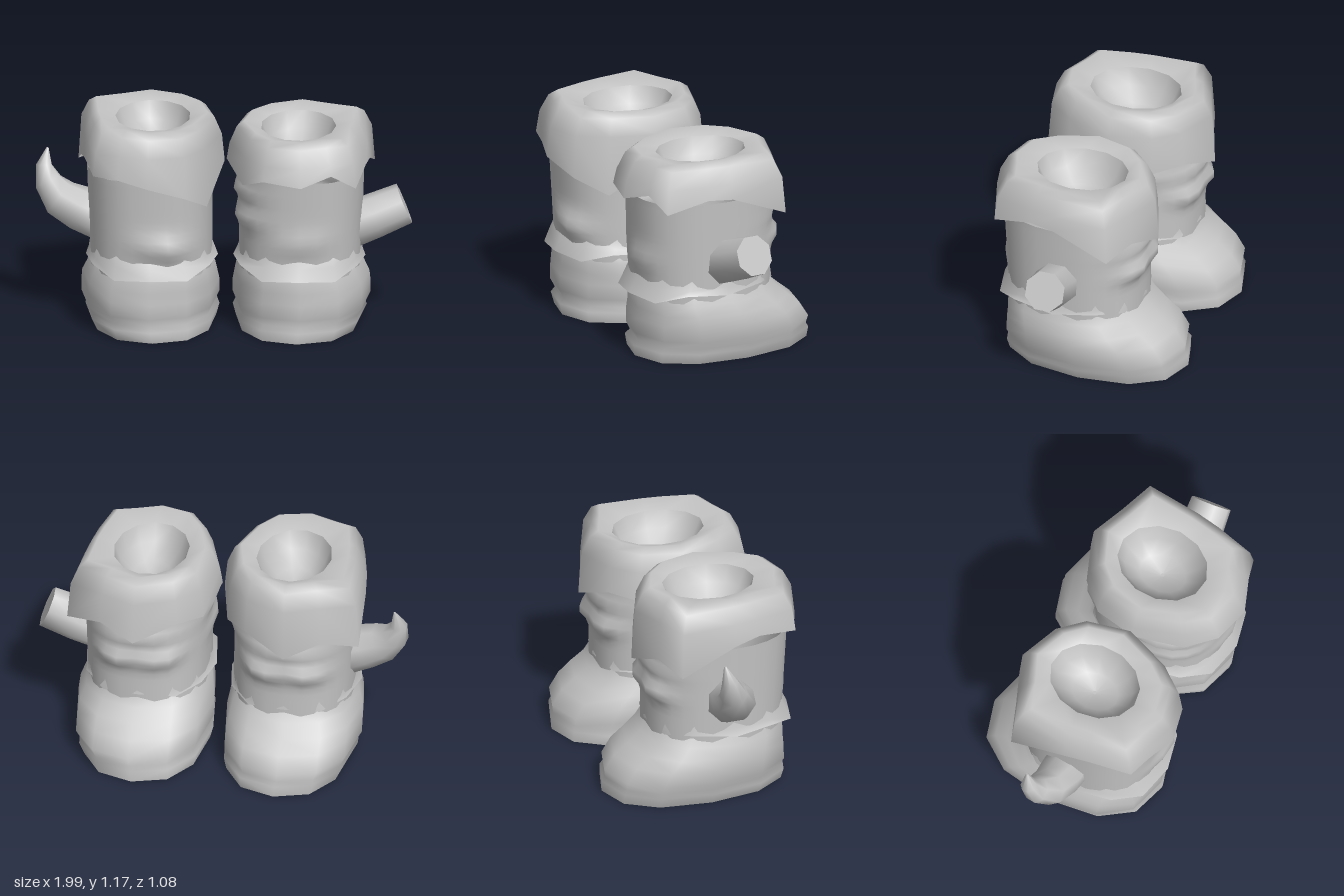
import * as THREE from 'three';

const clay = new THREE.MeshStandardMaterial({ color: 0xc4c4c4, side: THREE.DoubleSide });
clay.name = 'grey clay';

// Skin a stack of closed rings; optional flat caps get their own vertices
function loft(rings, capStart = false, capEnd = false) {
  const n = rings[0].length, pos = [], idx = [];
  rings.forEach(r => r.forEach(p => pos.push(...p)));
  for (let i = 0; i < rings.length - 1; i++)
    for (let j = 0; j < n; j++) {
      const k = (j + 1) % n, a = i * n + j, b = i * n + k;
      idx.push(a, a + n, b, b, a + n, b + n);
    }
  const cap = (ring, flip) => {
    const base = pos.length / 3;
    ring.forEach(p => pos.push(...p));
    for (let j = 1; j < n - 1; j++)
      idx.push(base, base + (flip ? j : j + 1), base + (flip ? j + 1 : j));
  };
  if (capStart) cap(rings[0], true);
  if (capEnd) cap(rings[rings.length - 1], false);
  const g = new THREE.BufferGeometry();
  g.setAttribute('position', new THREE.Float32BufferAttribute(pos, 3));
  g.setIndex(idx);
  g.computeVertexNormals();
  return g;
}

// Oval horizontal ring given by its extents; a power below 1 squares it off
function oval(y, x0, x1, z0, z1, n = 12, power = 0.85) {
  const soft = v => Math.sign(v) * Math.abs(v) ** power;
  return Array.from({ length: n }, (_, i) => {
    const a = i / n * Math.PI * 2;
    return [(x0 + x1) / 2 + soft(Math.cos(a)) * (x1 - x0) / 2, y,
      (z0 + z1) / 2 + soft(Math.sin(a)) * (z1 - z0) / 2];
  });
}

// Copy a geometry to the other side in x, keeping its faces outward
function mirror(g) {
  const m = g.clone().scale(-1, 1, 1).translate(0.03, 0, 0), id = m.index.array;
  for (let i = 0; i < id.length; i += 3) [id[i], id[i + 1]] = [id[i + 1], id[i]];
  m.computeVertexNormals();
  return m;
}

// Round limb along a path, with a radius at each point
function limb(points, radii) {
  const curve = points.map(p => new THREE.Vector3(...p));
  const rings = curve.map((p, i) => {
    const t = curve[Math.min(i + 1, curve.length - 1)].clone()
      .sub(curve[Math.max(i - 1, 0)]).normalize();
    const up = new THREE.Vector3().crossVectors(t, new THREE.Vector3(0, 0, 1)).normalize();
    const side = new THREE.Vector3().crossVectors(t, up);
    return Array.from({ length: 8 }, (_, j) => {
      const a = -(j + 0.5) / 8 * Math.PI * 2;
      return p.clone().addScaledVector(up, Math.cos(a) * radii[i])
        .addScaledVector(side, Math.sin(a) * radii[i]).toArray();
    });
  });
  return loft(rings, false, true);
}

// Plan of the cuff, starting at its outer side, and each boot's ragged lower edge
const plan = [[0.78, 0.08], [0.76, 0.22], [0.71, 0.44], [0.58, 0.48], [0.42, 0.54], [0.22, 0.49],
  [0.11, 0.34], [0.02, 0.08], [0.08, -0.16], [0.2, -0.29], [0.42, -0.38], [0.61, -0.3], [0.8, -0.23]];
const leftHem = [0.92, 0.93, 0.87, 0.95, 0.9, 0.92, 0.85, 0.91, 0.84, 0.86, 0.77, 0.83, 0.8];
const rightHem = [0.93, 0.96, 0.93, 0.92, 0.89, 0.82, 0.73, 0.9, 0.84, 0.86, 0.77, 0.84, 0.8];
const scaled = (s, y) => plan.map(([x, z], i) =>
  [0.4 + (x - 0.4) * s, typeof y === 'number' ? y : y[i], 0.07 + (z - 0.07) * s]);

// Bulges in the shaft: centre, push, spread along the surface, spread in height
const commonBulges = [
  [0.28, 0.62, -0.3, 0.055, 0.1, 0.05], [0.52, 0.62, -0.3, 0.055, 0.1, 0.05],
  [0.4, 0.75, -0.3, 0.03, 0.2, 0.04],
];
const leftBulges = [...commonBulges, [0.09, 0.65, 0.25, 0.035, 0.16, 0.05],
  [0.09, 0.79, 0.2, 0.035, 0.16, 0.04], [0.42, 0.55, 0.46, 0.025, 0.12, 0.07]];
const rightBulges = [...commonBulges, [0.33, 0.52, 0.46, 0.05, 0.12, 0.07],
  [0.09, 0.79, 0.0, 0.03, 0.15, 0.04]];

// Shaft tube, with each bulge pushing nearby points away from the axis
function shaftTube(bulges) {
  const rings = Array.from({ length: 16 }, (_, i) => {
    const t = i / 15, y = 0.34 + t * 0.56;
    return oval(y, 0.085, 0.73 + t * 0.02, -0.3, 0.44 + t * 0.03, 28).map(([x, , z]) => {
      let push = 0;
      for (const [bx, by, bz, amount, wide, high] of bulges)
        push += amount * Math.exp(-((x - bx) ** 2 + (z - bz) ** 2) / wide ** 2
          - ((y - by) / high) ** 2);
      const dx = x - 0.4, dz = z - 0.08, d = Math.hypot(dx, dz);
      return [x + dx / d * push, y, z + dz / d * push];
    });
  });
  return loft(rings);
}

function bootParts(top, hem, bulges) {
  const foot = loft([
    oval(0, 0.065, 0.73, -0.54, 0.46),
    oval(0.06, 0.05, 0.76, -0.54, 0.47),
    oval(0.085, 0.07, 0.75, -0.525, 0.445),
    oval(0.13, 0.05, 0.78, -0.53, 0.465),
    oval(0.21, 0.05, 0.78, -0.475, 0.46),
    oval(0.27, 0.06, 0.775, -0.4, 0.45),
    oval(0.33, 0.07, 0.75, -0.33, 0.45),
    oval(0.38, 0.09, 0.73, -0.3, 0.43),
  ], true);
  // Loose fold round the ankle, hanging lowest at the heel
  const ankleFold = loft([
    oval(0.38, 0.055, 0.755, -0.305, 0.5)
      .map(([x, y, z], i) => [x, y + (i % 2) * 0.02 - Math.max(z - 0.3, 0) * 0.2, z]),
    oval(0.42, 0.08, 0.74, -0.3, 0.47),
    oval(0.48, 0.09, 0.73, -0.29, 0.44),
  ]);
  // Cuff slopes in to the rim
  const cuff = loft([
    scaled(1, hem),
    scaled(0.96, top - 0.12),
    scaled(0.86, top - 0.03),
    scaled(0.76, top),
    oval(top - 0.03, 0.2, 0.6, -0.19, 0.31, 13, 1),
  ]);
  // Rounded hollow inside the rim
  const hollow = loft([
    oval(top - 0.03, 0.2, 0.6, -0.19, 0.31, 13, 1),
    oval(top - 0.12, 0.235, 0.565, -0.15, 0.27, 13, 1),
    oval(top - 0.19, 0.3, 0.5, -0.07, 0.19, 13, 1),
    oval(top - 0.21, 0.39, 0.41, 0.05, 0.07, 13, 1),
  ], false, true);
  return { foot, ankleFold, shaft: shaftTube(bulges), cuff, hollow };
}

export function createModel() {
  const model = new THREE.Group();
  model.name = 'bootPair';
  for (const side of [1, -1]) {
    const boot = new THREE.Group();
    boot.name = side > 0 ? 'leftBoot' : 'rightBoot';
    const parts = side > 0 ? bootParts(1.12, leftHem, leftBulges)
      : bootParts(1.17, rightHem, rightBulges);
    for (const [name, g] of Object.entries(parts)) {
      const mesh = new THREE.Mesh(side > 0 ? g : mirror(g), clay);
      mesh.name = name;
      boot.add(mesh);
    }
    // One side has a cut stump, the other a curling horn
    const horn = new THREE.Mesh(side > 0
      ? limb([[0.66, 0.54, 0.09], [0.8, 0.59, 0.07], [0.96, 0.655, 0.055]], [0.125, 0.12, 0.112])
      : limb([[-0.64, 0.57, 0.06], [-0.76, 0.62, 0.055], [-0.86, 0.67, 0.04], [-0.925, 0.745, 0],
        [-0.95, 0.83, -0.03], [-0.93, 0.92, -0.05]], [0.125, 0.12, 0.105, 0.075, 0.045, 0.006]), clay);
    horn.name = side > 0 ? 'hornStump' : 'curvedHorn';
    boot.add(horn);
    model.add(boot);
  }
  return model;
}
